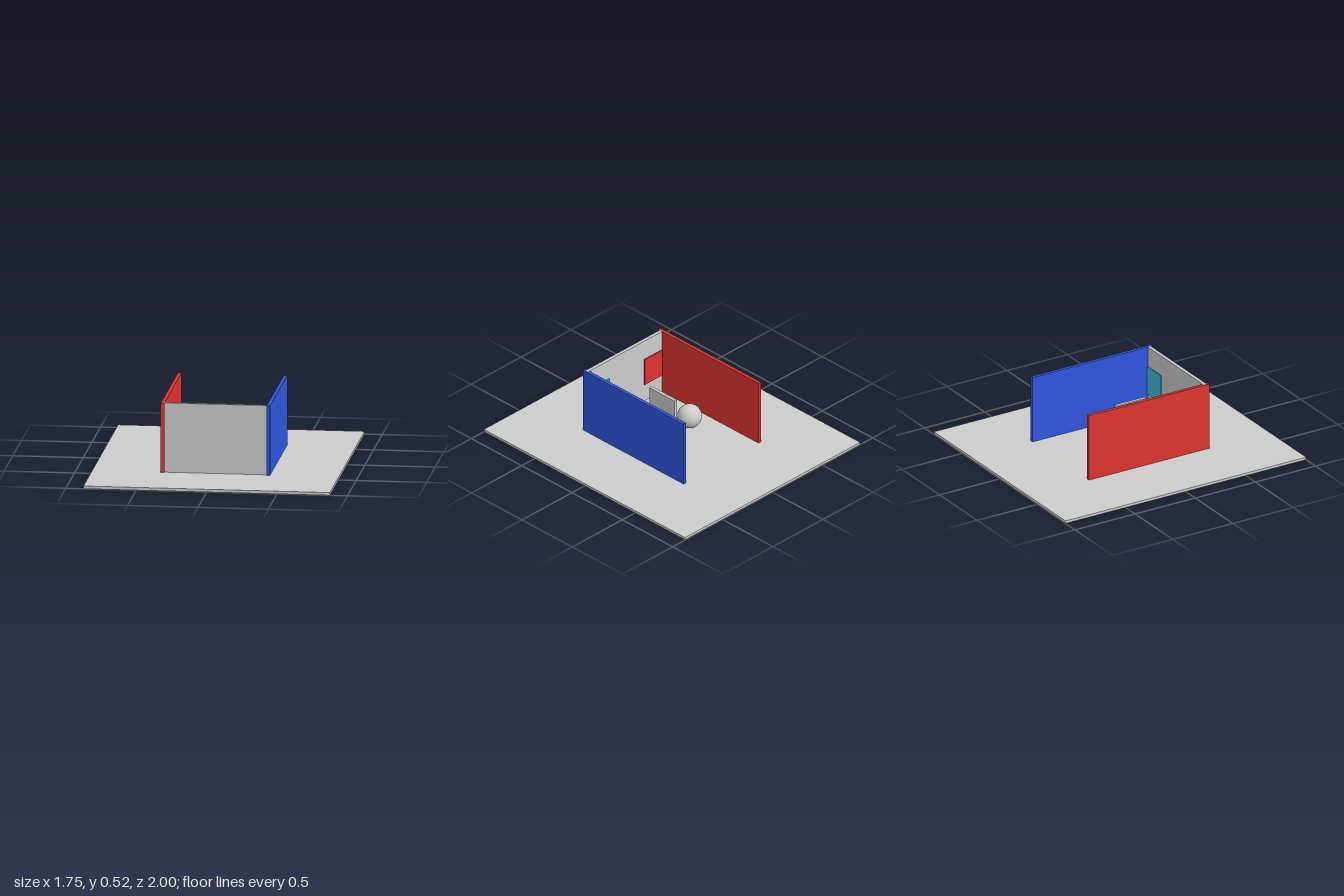
import * as THREE from 'three';

const material = (name, color) => {
  const m = new THREE.MeshStandardMaterial({ color });
  m.name = name;
  return m;
};

export function createModel() {
  const grey = material('light grey', 0xcccccc);
  const red = material('red', 0xe0352f);
  const blue = material('blue', 0x3056e0);
  const teal = material('teal', 0x40c0dc);

  const model = new THREE.Group();
  model.name = 'openRoom';

  const add = (name, geometry, mat, x, y, z) => {
    const mesh = new THREE.Mesh(geometry, mat);
    mesh.name = name;
    mesh.position.set(x, y, z);
    model.add(mesh);
  };
  const box = (name, mat, w, h, d, x, y, z) =>
    add(name, new THREE.BoxGeometry(w, h, d), mat, x, y, z);

  const floorTop = 0.02;
  const wallHeight = 0.5;
  const wallY = floorTop + wallHeight / 2;

  // Ground slab and front wall
  box('floor', grey, 1.75, floorTop, 2, 0, floorTop / 2, 0);
  box('frontWall', grey, 0.75, wallHeight, 0.025, 0, wallY, 0.4725);

  // Free-standing divider between the spheres
  box('divider', grey, 0.025, 0.313, 0.25, 0, floorTop + 0.1565, 0.087);

  // Mirrored side walls, wall panels and spheres
  const radius = 0.0875;
  for (const [side, s, wallMat, panelMat] of [['left', 1, blue, teal], ['right', -1, red, red]]) {
    box(side + 'Wall', wallMat, 0.025, wallHeight, 1, s * 0.375, wallY, 0);
    box(side + 'Panel', panelMat, 0.175, 0.21, 0.009, s * 0.2625, wallY, 0.449);
    add(side + 'Sphere', new THREE.SphereGeometry(radius, 32, 24), grey,
      s * 0.175, floorTop + radius, 0);
  }

  return model;
}
